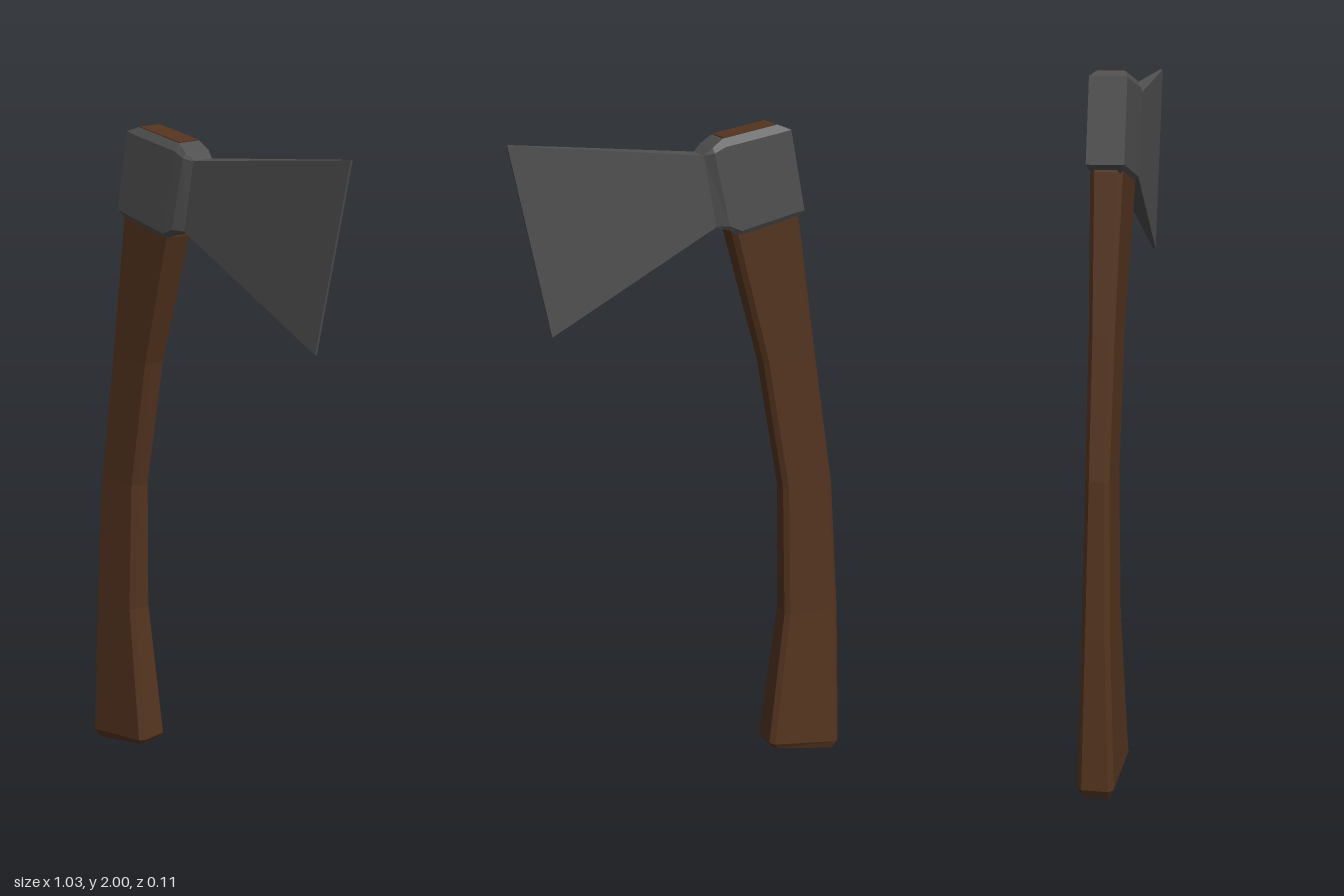
import * as THREE from 'three';

// Chamfered slab section from edge point a to edge point b (x, y),
// half thickness `side` on the cheeks and `inset` at the two edges.
function section(ax, ay, bx, by, side, inset, bevel) {
  const a = new THREE.Vector2(ax, ay), b = new THREE.Vector2(bx, by);
  const t = bevel / a.distanceTo(b);
  const p = a.clone().lerp(b, t), q = b.clone().lerp(a, t);
  const half = [[a, inset], [p, side], [q, side], [b, inset]];
  return [
    ...half.map(([v, z]) => [v.x, v.y, z]),
    ...half.reverse().map(([v, z]) => [v.x, v.y, -z]),
  ];
}

// Skin the sections in order and cap both ends, with hard facets.
function loft(name, rings, material) {
  const pos = [];
  const tri = (a, b, c) => pos.push(...a, ...b, ...c);
  const n = rings[0].length;
  for (let i = 0; i < rings.length - 1; i++) {
    const A = rings[i], B = rings[i + 1];
    for (let j = 0; j < n; j++) {
      const k = (j + 1) % n;
      tri(A[j], A[k], B[k]);
      tri(A[j], B[k], B[j]);
    }
  }
  const first = rings[0], last = rings[rings.length - 1];
  for (let j = 1; j < n - 1; j++) {
    tri(first[0], first[j + 1], first[j]);
    tri(last[0], last[j], last[j + 1]);
  }
  const geometry = new THREE.BufferGeometry();
  geometry.setAttribute('position', new THREE.Float32BufferAttribute(pos, 3));
  geometry.computeVertexNormals();
  const mesh = new THREE.Mesh(geometry, material);
  mesh.name = name;
  return mesh;
}

export function createModel() {
  const wood = new THREE.MeshStandardMaterial({ color: 0x54341f });
  wood.name = 'brown wood';
  const steel = new THREE.MeshStandardMaterial({ color: 0x505050 });
  steel.name = 'grey steel';

  const group = new THREE.Group();
  group.name = 'hatchet';

  // Curved handle, butt to top; it runs through the eye of the head
  group.add(loft('handle', [
    section(-0.503, 0.0, -0.287, 0.042, 0.043, 0.033, 0.012),
    section(-0.517, 0.025, -0.275, 0.06, 0.052, 0.038, 0.014),
    section(-0.505, 0.48, -0.325, 0.49, 0.040, 0.027, 0.014),
    section(-0.477, 0.9, -0.315, 0.9, 0.034, 0.021, 0.014),
    section(-0.414, 1.29, -0.243, 1.3, 0.036, 0.023, 0.014),
    section(-0.344, 1.73, -0.134, 1.695, 0.045, 0.031, 0.014),
    section(-0.265, 2.0, -0.102, 1.972, 0.038, 0.037, 0.002),
  ], wood));

  // Head: poll, bevelled collar, neck, then a blade thinning to its edge
  group.add(loft('axeHead', [
    section(-0.305, 1.985, -0.352, 1.75, 0.053, 0.053, 0.002),
    section(-0.268, 1.998, -0.335, 1.725, 0.053, 0.040, 0.022),
    section(-0.10, 1.969, -0.16, 1.685, 0.053, 0.040, 0.022),
    section(-0.068, 1.946, -0.122, 1.708, 0.052, 0.044, 0.015),
    section(-0.045, 1.925, -0.085, 1.72, 0.036, 0.036, 0.002),
    section(0.515, 1.985, 0.40, 1.44, 0.004, 0.004, 0.002),
  ], steel));

  return group;
}
